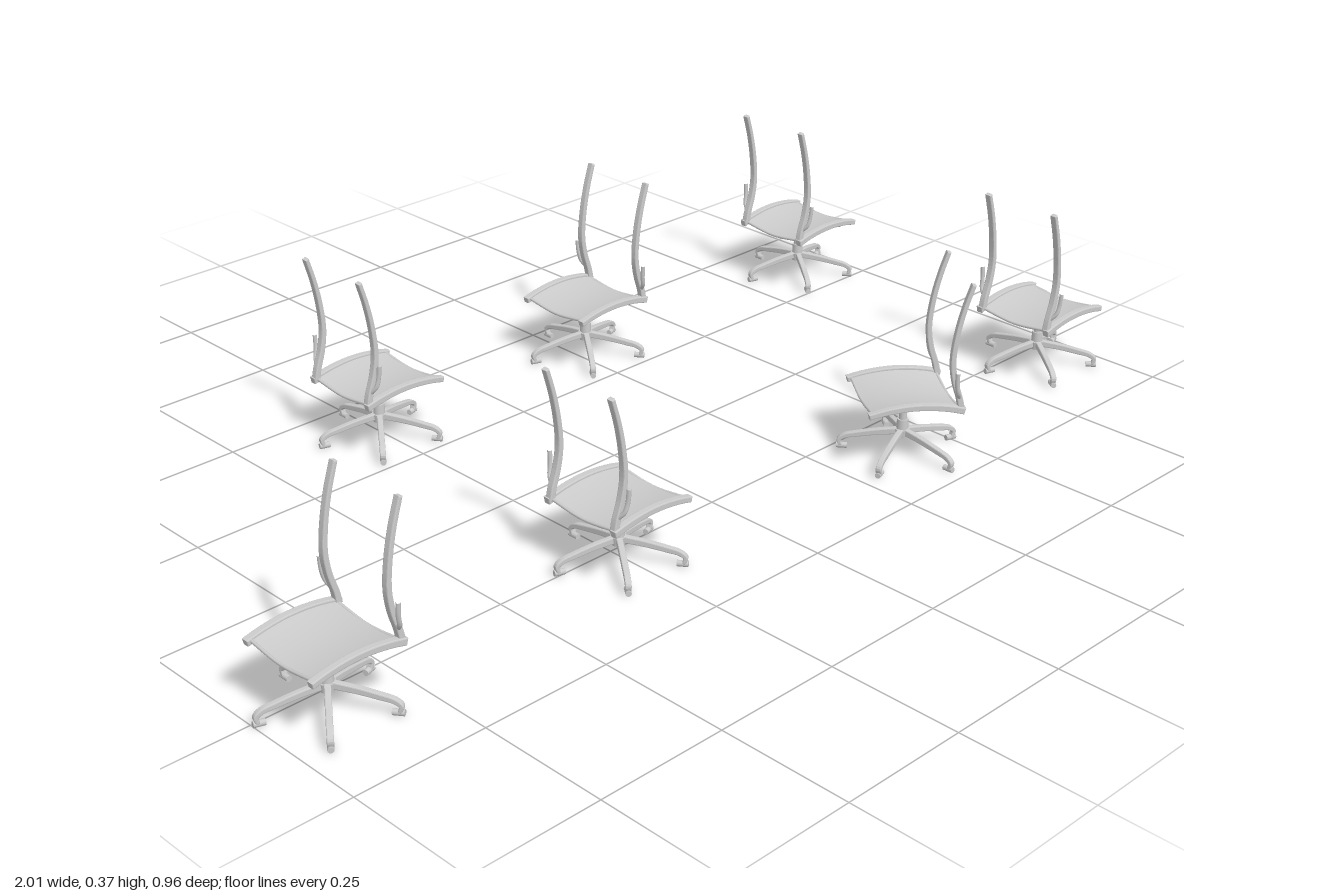
import * as THREE from 'three';

const material = new THREE.MeshStandardMaterial({ color: 0xcccccc });
const clothMaterial = new THREE.MeshStandardMaterial({ color: 0xcccccc, side: THREE.DoubleSide });

// A bar bent in the x-y plane, tapering from t0 to t1, centred on z = 0
function bentBar(points, t0, t1, width, steps = 16) {
  const curve = new THREE.CatmullRomCurve3(points.map(([x, y]) => new THREE.Vector3(x, y, 0)));
  const bevel = 0.002;
  const upper = [], lower = [];
  for (let i = 0; i <= steps; i++) {
    const p = curve.getPoint(i / steps), d = curve.getTangent(i / steps);
    const h = THREE.MathUtils.lerp(t0, t1, i / steps) / 2 - bevel;
    upper.push(new THREE.Vector2(p.x - d.y * h, p.y + d.x * h));
    lower.unshift(new THREE.Vector2(p.x + d.y * h, p.y - d.x * h));
  }
  const depth = width - 2 * bevel;
  return new THREE.ExtrudeGeometry(new THREE.Shape([...lower, ...upper]), {
    depth, bevelEnabled: true, bevelSize: bevel, bevelThickness: bevel, bevelSegments: 2,
  }).translate(0, 0, -depth / 2);
}

function tube(points, radius) {
  const curve = new THREE.CatmullRomCurve3(points.map((p) => new THREE.Vector3(...p)));
  return new THREE.TubeGeometry(curve, 12, radius, 8);
}

// Height of the side rails along the seat depth
const railY = (x) => 0.134 - 1.6 * x * x;

// Sling cloth sagging between the rails
function clothGeometry() {
  const g = new THREE.PlaneGeometry(0.162, 0.16, 14, 14).rotateX(-Math.PI / 2);
  const p = g.attributes.position;
  for (let i = 0; i < p.count; i++) {
    const s = p.getZ(i) / 0.08;
    p.setY(i, railY(p.getX(i)) - 0.009 * (1 - s * s));
  }
  g.computeVertexNormals();
  return g;
}

const part = (name, geometry, mat = material) => {
  const mesh = new THREE.Mesh(geometry, mat);
  mesh.name = name;
  return mesh;
};

const geo = {
  cloth: clothGeometry(),
  rail: bentBar([-0.086, -0.06, -0.02, 0.02, 0.06, 0.088].map((x) => [x, railY(x) - 0.003]), 0.011, 0.013, 0.014),
  post: bentBar([[0.084, 0.12], [0.08, 0.14], [0.069, 0.175], [0.063, 0.215], [0.067, 0.265], [0.077, 0.315], [0.091, 0.362]],
    0.012, 0.008, 0.013, 28),
  column: new THREE.CylinderGeometry(0.0075, 0.0075, 0.07, 16).translate(0, 0.08, 0),
  sleeve: new THREE.CylinderGeometry(0.0105, 0.0115, 0.03, 16).translate(0, 0.054, 0),
  hub: new THREE.CylinderGeometry(0.014, 0.012, 0.016, 20).translate(0, 0.041, 0),
  plate: new THREE.BoxGeometry(0.07, 0.008, 0.045).translate(0, 0.109, 0),
  leg: bentBar([[0.008, 0.044], [0.045, 0.039], [0.085, 0.031], [0.105, 0.026], [0.115, 0.018], [0.113, 0.008]],
    0.013, 0.007, 0.011, 20),
  wheel: new THREE.CylinderGeometry(0.0055, 0.0055, 0.02, 12).rotateZ(Math.PI / 2).translate(0.11, 0.0055, 0),
};

// Seat, rails and back posts; the back lies toward +x
function createSeat() {
  const seat = new THREE.Group();
  seat.name = 'seat';
  seat.add(part('seatCloth', geo.cloth, clothMaterial), part('seatPlate', geo.plate));
  for (const side of [-1, 1]) {
    const rail = part('sideRail', geo.rail);
    rail.position.z = side * 0.08;
    const post = part('backPost', geo.post);
    post.position.z = side * 0.077;
    // Bracket hooking outward and up from the post
    const bracket = part('postBracket', tube([
      [0.078, 0.145, side * 0.08], [0.073, 0.157, side * 0.09],
      [0.069, 0.175, side * 0.093], [0.068, 0.2, side * 0.095]], 0.0042));
    seat.add(rail, post, bracket);
    // Arms from the plate out to the rails
    for (const x of [-0.05, 0.05]) {
      seat.add(part('supportArm', tube([
        [x * 0.5, 0.109, side * 0.015], [x * 0.8, 0.112, side * 0.045], [x, 0.122, side * 0.08]], 0.0045)));
    }
  }
  // Cross bars at the front and back edges, following the sag
  for (const x of [-0.08, 0.082]) {
    const y = railY(x) - 0.002;
    seat.add(part('crossBar', tube([[x, y, -0.08], [x, y - 0.009, 0], [x, y, 0.08]], 0.003)));
  }
  return seat;
}

// Five-legged star base with one leg toward -z
function createBase() {
  const base = new THREE.Group();
  base.name = 'base';
  base.add(part('column', geo.column), part('sleeve', geo.sleeve), part('hub', geo.hub));
  for (let i = 0; i < 5; i++) {
    const leg = new THREE.Group();
    leg.name = 'leg';
    leg.add(part('legBar', geo.leg), part('caster', geo.wheel));
    leg.rotation.y = Math.PI / 2 + (i * Math.PI * 2) / 5;
    base.add(leg);
  }
  return base;
}

export function createModel() {
  const model = new THREE.Group();
  model.name = 'chairGroup';
  // x, z, seat turn, base turn
  const turn = -0.61;
  const places = [
    [-0.887, 0.295, 0, 0],
    [-0.262, 0.282, Math.PI, 0],
    [0.393, 0.358, turn, turn],
    [0.887, 0.297, Math.PI, 0],
    [-0.262, -0.361, Math.PI, 0],
    [0.268, -0.361, 0, 0],
    [0.887, -0.344, Math.PI, 0],
  ];
  for (const [x, z, seatTurn, baseTurn] of places) {
    const chair = new THREE.Group();
    chair.name = 'chair';
    const seat = createSeat();
    const base = createBase();
    seat.rotation.y = seatTurn;
    base.rotation.y = baseTurn;
    chair.add(seat, base);
    chair.position.set(x, 0, z);
    model.add(chair);
  }
  return model;
}
